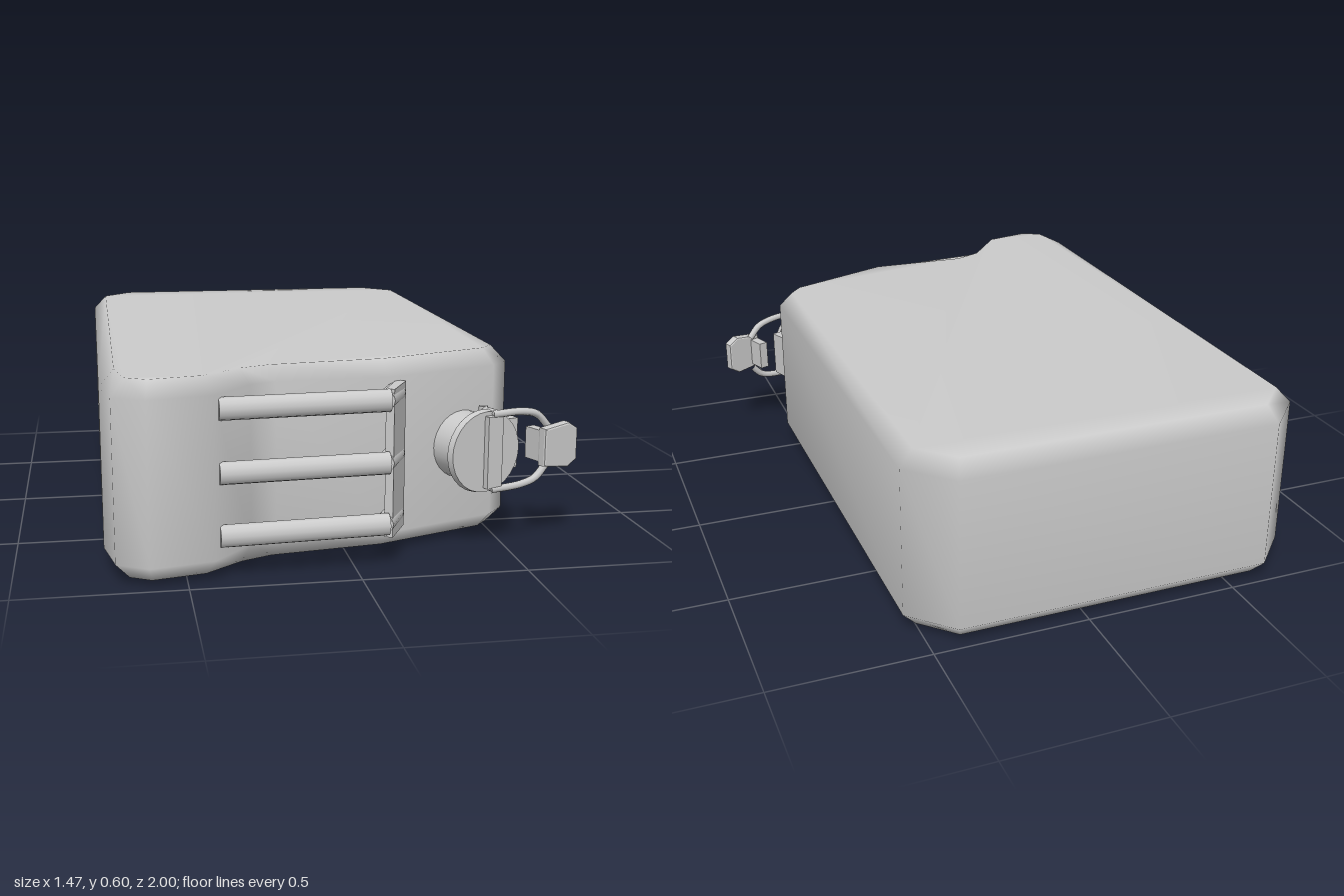
import * as THREE from 'three';
import { mergeVertices } from 'three/addons/utils/BufferGeometryUtils.js';

const material = new THREE.MeshStandardMaterial({ color: 0xcccccc });

function add(parent, name, geometry, x = 0, y = 0, z = 0) {
  const mesh = new THREE.Mesh(geometry, material);
  mesh.name = name;
  mesh.position.set(x, y, z);
  parent.add(mesh);
  return mesh;
}

// Round rod between two points
function rod(parent, name, a, b, radius, sides = 12) {
  const from = new THREE.Vector3(...a), to = new THREE.Vector3(...b);
  const dir = to.clone().sub(from);
  const mesh = add(parent, name, new THREE.CylinderGeometry(radius, radius, dir.length(), sides));
  mesh.position.copy(from).add(to).multiplyScalar(0.5);
  mesh.quaternion.setFromUnitVectors(new THREE.Vector3(0, 1, 0), dir.normalize());
  return mesh;
}

// Can lying flat: plan outline (x, z) raised with a chamfered, softly shaded rim
function bodyGeometry() {
  const outline = [
    [-0.61, -1], [0.42, -1], [0.55, -0.87], [0.55, 0.57], [0.49, 0.64], [0.12, 0.78],
    [-0.22, 0.785], [-0.3, 0.82], [-0.42, 0.955], [-0.61, 0.995], [-0.705, 0.94],
    [-0.735, 0.78], [-0.735, -0.87],
  ];
  const shape = new THREE.Shape(outline.map(([x, z]) => new THREE.Vector2(x, -z)));
  const geo = new THREE.ExtrudeGeometry(shape, {
    depth: 0.485, bevelEnabled: true, bevelSegments: 1,
    bevelThickness: 0.05, bevelSize: 0.045, bevelOffset: -0.045,
  });
  geo.rotateX(-Math.PI / 2).translate(0, 0.065, 0);
  // Slight sag of both faces near the handle recess
  const p = geo.attributes.position;
  for (let i = 0; i < p.count; i++) {
    if (p.getZ(i) < 0.7 || p.getX(i) < -0.42 || p.getX(i) > 0) continue;
    if (p.getY(i) < 0.03) p.setY(i, 0);
    else if (p.getY(i) > 0.59) p.setY(i, 0.593);
  }
  geo.deleteAttribute('normal');
  geo.deleteAttribute('uv');
  const smooth = mergeVertices(geo, 1e-4);
  smooth.computeVertexNormals();
  return smooth;
}

function makeHandle() {
  const handle = new THREE.Group();
  handle.name = 'handle';
  for (const y of [0.13, 0.317, 0.505]) {
    const bar = rod(handle, 'handleBar', [-0.405, y, 0.928], [0.1, y, 0.893], 0.034);
    bar.scale.z = 0.8;
    rod(handle, 'handleLeg', [0.085, y, 0.893], [0.145, y, 0.775], 0.03);
  }
  // Sloping plate joining the bars to the body
  const plate = new THREE.Shape([
    [0.09, 0.88], [0.112, 0.895], [0.175, 0.775], [0.15, 0.755],
  ].map(([x, z]) => new THREE.Vector2(x, -z)));
  const geo = new THREE.ExtrudeGeometry(plate, { depth: 0.45, bevelEnabled: false });
  add(handle, 'handlePlate', geo.rotateX(-Math.PI / 2), 0, 0.087, 0);
  return handle;
}

// Built with the slanted shoulder as its local xy plane
function makeCap() {
  const cap = new THREE.Group();
  cap.name = 'cap';
  const disc = (name, r0, r1, h, z) =>
    add(cap, name, new THREE.CylinderGeometry(r1, r0, h, 28).rotateX(Math.PI / 2), 0, 0, z);
  disc('neck', 0.108, 0.1, 0.13, 0.045);
  disc('lid', 0.13, 0.126, 0.022, 0.113);

  // Hinge lug and side pins
  add(cap, 'hingeLug', new THREE.BoxGeometry(0.07, 0.16, 0.06), 0.125, 0, 0.045);
  rod(cap, 'hingePin', [0.03, -0.13, 0.065], [0.03, 0.13, 0.065], 0.014);

  // Cross strap and wire bail
  add(cap, 'crossStrap', new THREE.BoxGeometry(0.055, 0.225, 0.022), 0.02, 0, 0.133);
  for (const s of [-1, 1]) {
    const curve = new THREE.CatmullRomCurve3([
      [0.01, 0.118, 0.135], [0.13, 0.115, 0.137], [0.185, 0.1, 0.138], [0.225, 0.06, 0.14],
    ].map(([x, y, z]) => new THREE.Vector3(x, y * s, z)));
    add(cap, 'bailArm', new THREE.TubeGeometry(curve, 16, 0.012, 8));
    rod(cap, 'armLink', [0.03, 0.118 * s, 0.06], [0.03, 0.118 * s, 0.135], 0.012);
  }

  // Thumb lever
  add(cap, 'latchPost', new THREE.BoxGeometry(0.032, 0.1, 0.07), 0.205, 0, 0.115);
  const tab = new THREE.Shape([
    [-0.065, -0.06], [0.03, -0.072], [0.065, -0.05], [0.065, 0.05], [0.03, 0.072], [-0.065, 0.06],
  ].map((q) => new THREE.Vector2(...q)));
  add(cap, 'thumbTab', new THREE.ExtrudeGeometry(tab, {
    depth: 0.02, bevelSize: 0.006, bevelThickness: 0.008, bevelOffset: -0.006, bevelSegments: 2,
  }), 0.25, 0, 0.152);

  cap.position.set(0.38, 0.312, 0.682);
  cap.rotation.y = 0.362;
  return cap;
}

export function createModel() {
  const model = new THREE.Group();
  model.name = 'fuelCan';
  add(model, 'body', bodyGeometry());
  model.add(makeHandle(), makeCap());
  return model;
}
